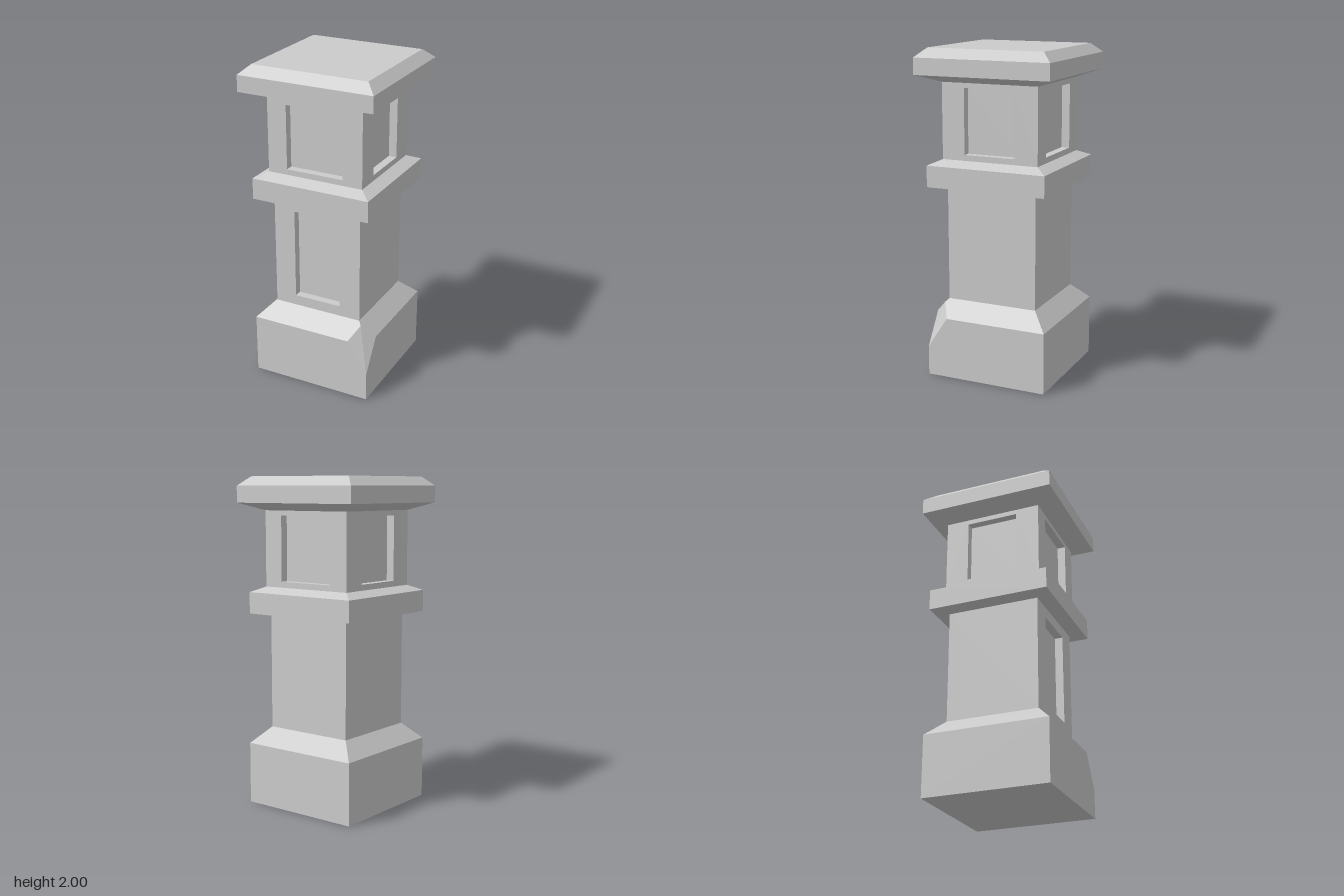
import * as THREE from 'three';
import { mergeGeometries } from 'three/addons/utils/BufferGeometryUtils.js';
import { ConvexGeometry } from 'three/addons/geometries/ConvexGeometry.js';

const material = new THREE.MeshStandardMaterial({ color: 0xcccccc, flatShading: true });
const RECESS = 0.05;

function part(name, geometry) {
  const mesh = new THREE.Mesh(geometry, material);
  mesh.name = name;
  return mesh;
}

// Square block turned from a profile of [half width, height], bottom to top
function squareTier(name, profile) {
  const points = profile.map(([half, y]) => new THREE.Vector2(half * Math.SQRT2, y));
  const geometry = new THREE.LatheGeometry(points, 4, Math.PI / 4).toNonIndexed();
  geometry.computeVertexNormals();
  return part(name, geometry);
}

// One wall facing +z, optionally with a sunken panel { half, y0, y1 }
function wall(half, y0, y1, panel) {
  const rect = (target, w, a, b) =>
    target.moveTo(-w, a).lineTo(w, a).lineTo(w, b).lineTo(-w, b).closePath();
  const shape = rect(new THREE.Shape(), half, y0, y1);
  const pieces = [];
  if (panel) {
    shape.holes.push(rect(new THREE.Path(), panel.half, panel.y0, panel.y1));
    // Inside-out box without its front face lines the recess
    const box = new THREE.BoxGeometry(panel.half * 2, panel.y1 - panel.y0, RECESS);
    const index = Array.from(box.index.array);
    index.splice(24, 6);
    box.setIndex(index.reverse());
    box.translate(0, (panel.y0 + panel.y1) / 2, half - RECESS / 2);
    pieces.push(box);
  }
  pieces.push(new THREE.ShapeGeometry(shape).translate(0, 0, half));
  const geometry = mergeGeometries(pieces).toNonIndexed();
  geometry.computeVertexNormals();
  return geometry;
}

// Four walls in the order front, left, back, right
function shaft(name, half, y0, y1, panels) {
  const walls = panels.map((panel, i) => wall(half, y0, y1, panel).rotateY(i * Math.PI / 2));
  return part(name, mergeGeometries(walls));
}

// Plinth with sloped shoulder and one chipped corner at front left
function plinth() {
  const wide = 0.383, narrow = 0.285, shoulder = 0.375, top = 0.475;
  const points = [];
  for (const sx of [-1, 1]) {
    for (const sz of [-1, 1]) {
      const add = (x, y, z) => points.push(new THREE.Vector3(sx * x, y, sz * z));
      add(wide, 0, wide);
      add(narrow, top, narrow);
      if (sx > 0 && sz > 0) {
        const ridge = THREE.MathUtils.lerp(wide, narrow, 0.8);
        add(wide, 0.18, wide);
        add(0.255, shoulder, wide);
        add(wide, shoulder, 0.255);
        add(ridge, THREE.MathUtils.lerp(shoulder, top, 0.8), ridge);
      } else {
        add(wide, shoulder, wide);
      }
    }
  }
  return part('plinth', new ConvexGeometry(points));
}

export function createModel() {
  const model = new THREE.Group();
  model.name = 'pillar';

  const tall = { half: 0.15, y0: 0.54, y1: 1.105 };
  const broad = { half: 0.182, y0: 1.378, y1: 1.77 };
  const slim = { ...broad, half: 0.161 };

  model.add(
    plinth(),
    shaft('lowerShaft', 0.285, 0.475, 1.172, [tall, null, null, null]),
    squareTier('middleBand', [
      [0, 1.172], [0.285, 1.172], [0.377, 1.18], [0.377, 1.31], [0.305, 1.343], [0, 1.343],
    ]),
    shaft('upperShaft', 0.305, 1.343, 1.8, [broad, slim, broad, slim]),
    squareTier('cap', [
      [0, 1.8], [0.305, 1.8], [0.425, 1.845], [0.425, 1.945], [0.364, 2], [0, 2],
    ]),
  );
  return model;
}
